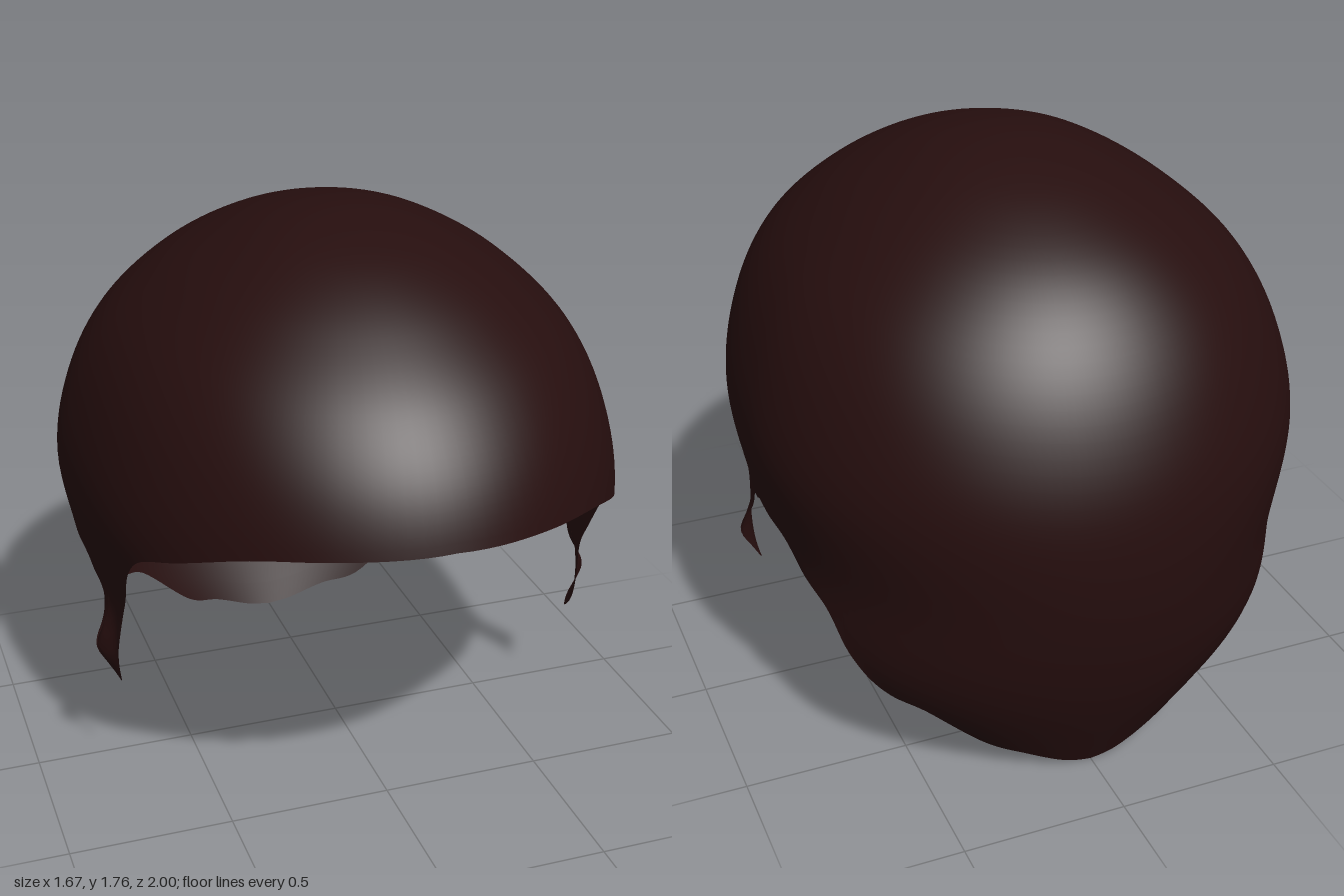
import * as THREE from 'three';
import { mergeVertices } from 'three/addons/utils/BufferGeometryUtils.js';

const TOP = 1.76, STEP = 0.15, ROWS = 48, COLS = 190;

// Horizontal sections, listed at equal steps of q = sqrt(TOP - y)
const halfWidth = [0, 0.18, 0.35, 0.53, 0.69, 0.79, 0.835, 0.788, 0.755, 0.4];
const frontZ = [0, 0.19, 0.42, 0.635, 0.83, 0.965, 1.02, 1.0, 1.0, 1.0];
const backZ = [0, 0.2, 0.44, 0.66, 0.82, 0.93, 0.99, 0.98, 0.9, 0.74];
const centreZ = [0, 0, -0.02, -0.05, -0.09, -0.13, -0.15, -0.15, -0.15, -0.15];

// Hairline of the left half, front to nape: [x, z, y]
const hairline = [
  [0, 1, 1.08], [0.3, 0.93, 1.065], [0.5, 0.8, 1.035], [0.65, 0.6, 0.96],
  [0.72, 0.45, 0.9], [0.745, 0.37, 0.82], [0.75, 0.3, 0.7], [0.75, 0.25, 0.62],
  [0.75, 0.21, 0.5], [0.75, 0.19, 0.38], [0.75, 0.165, 0.35], [0.75, 0.145, 0.37],
  [0.75, 0.13, 0.5], [0.77, 0.11, 0.57], [0.78, 0.08, 0.64], [0.79, 0, 0.67],
  [0.79, -0.04, 0.695], [0.79, -0.15, 0.705], [0.78, -0.28, 0.7], [0.75, -0.37, 0.62],
  [0.71, -0.48, 0.55], [0.65, -0.54, 0.42], [0.57, -0.6, 0.3], [0.48, -0.66, 0.26],
  [0.32, -0.7, 0.11], [0.2, -0.73, 0.065], [0.08, -0.75, 0.015], [0, -0.75, 0],
];

// Smooth lookup in a section list
function lookup(list, q) {
  const f = q / STEP, i = Math.min(Math.floor(f), list.length - 2), t = f - i;
  const b = list[i], c = list[i + 1];
  const a = i > 0 ? list[i - 1] : 2 * b - c;
  const d = i + 2 < list.length ? list[i + 2] : 2 * c - b;
  return b + 0.5 * t * (c - a + t * (2 * a - 5 * b + 4 * c - d + t * (3 * (b - c) + d - a)));
}

function section(q) {
  const c = lookup(centreZ, q);
  return { w: lookup(halfWidth, q), c, front: lookup(frontZ, q) - c, back: lookup(backZ, q) + c };
}

// Point of the scalp surface at an angle (front = +90 degrees, nape = -90) and depth q
function surfacePoint(angle, q) {
  const s = section(q), sin = Math.sin(angle), y = TOP - q * q;
  const z = s.c + sin * (sin > 0 ? s.front : s.back);
  let x = s.w * Math.cos(angle);
  if (sin > 0) x *= 1 + 0.04 * Math.sin(2 * angle) ** 2;
  // sideburns flick outwards along their rear edge
  if (z > 0) {
    x += 0.045 * Math.exp(-(((y - 0.48) / 0.07) ** 2)) * (1 - THREE.MathUtils.smoothstep(z, 0.13, 0.2));
  }
  return [x, y, z];
}

function hairGeometry() {
  // hairline as a curve in (angle, height)
  const rim = new THREE.CatmullRomCurve3(hairline.map(([x, z, y]) => {
    const s = section(Math.sqrt(TOP - y));
    const angle = Math.atan2((z - s.c) / (z > s.c ? s.front : s.back), x / s.w);
    return new THREE.Vector3(angle, y, 0);
  }), false, 'centripetal').getPoints(COLS);

  // columns from crown to hairline: left half, then mirrored right half
  const positions = [], index = [];
  const addColumn = (p, side) => {
    const depth = Math.sqrt(TOP - p.y);
    for (let j = 0; j <= ROWS; j++) {
      const [x, y, z] = surfacePoint(p.x, depth * j / ROWS);
      positions.push(side * x, y, z);
    }
  };
  rim.forEach((p) => addColumn(p, 1));
  rim.slice(0, -1).reverse().forEach((p) => addColumn(p, -1));

  const n = ROWS + 1;
  for (let i = 0; i < 2 * COLS; i++) {
    for (let j = 0; j < ROWS; j++) {
      const a = i * n + j, b = a + n;
      index.push(a, a + 1, b + 1);
      if (j > 0) index.push(a, b + 1, b);
    }
  }
  let geometry = new THREE.BufferGeometry();
  geometry.setAttribute('position', new THREE.Float32BufferAttribute(positions, 3));
  geometry.setIndex(index);
  geometry = mergeVertices(geometry, 1e-5);
  geometry.computeVertexNormals();
  return geometry;
}

export function createModel() {
  const group = new THREE.Group();
  group.name = 'shortHair';
  const darkBrown = new THREE.MeshStandardMaterial({ color: 0x260e0e, side: THREE.DoubleSide });
  darkBrown.name = 'darkBrown';
  const hair = new THREE.Mesh(hairGeometry(), darkBrown);
  hair.name = 'hairCap';
  group.add(hair);
  return group;
}
